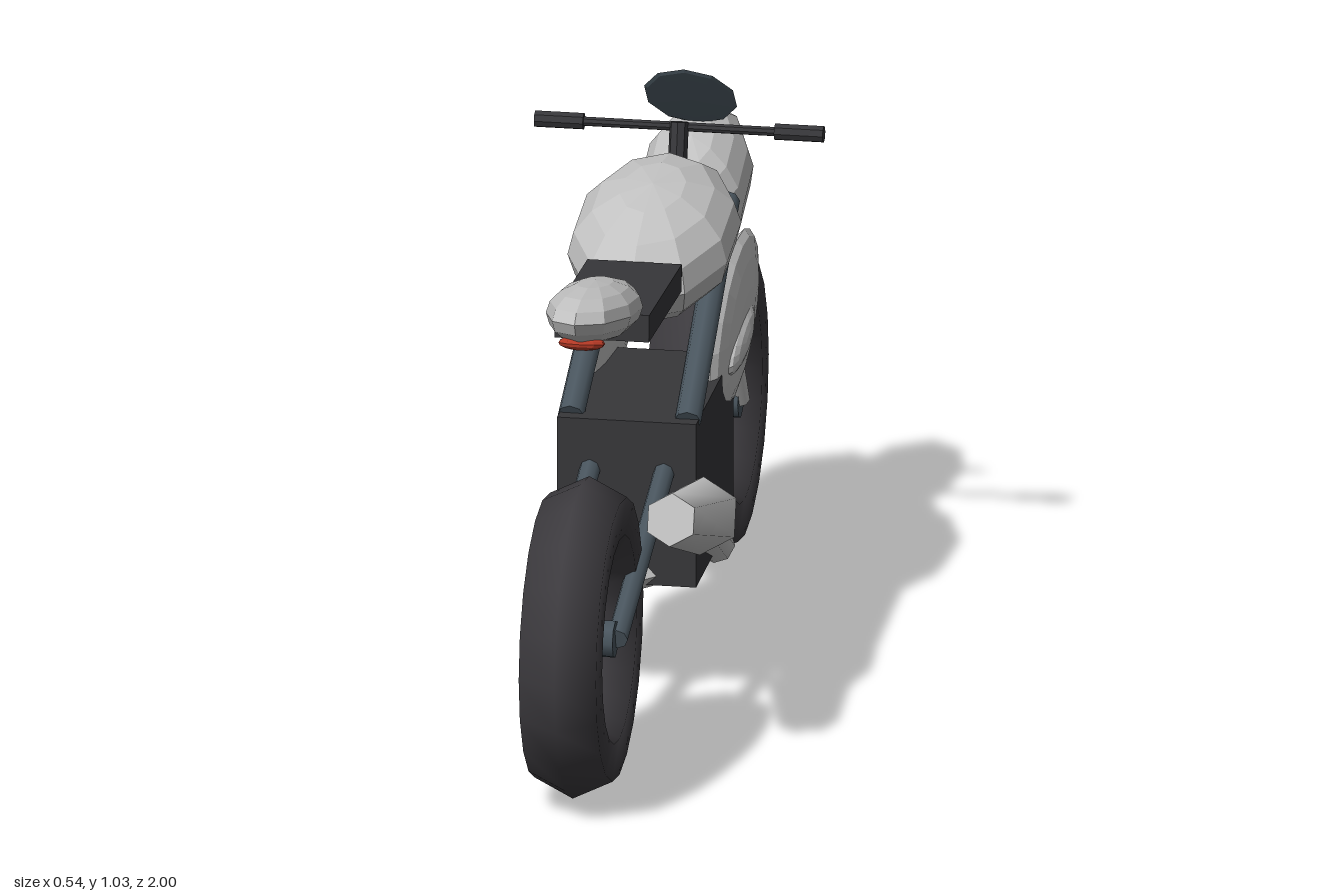
import * as THREE from 'three';

export function createModel() {
  const model = new THREE.Group();
  model.name = 'motorcycle';

  const mat = (name, color, flatShading = false) => {
    const m = new THREE.MeshStandardMaterial({ color, flatShading });
    m.name = name;
    return m;
  };
  const paint = mat('silver paint', 0xc2c2c2, true);
  const metal = mat('bright metal', 0xc6c6c6);
  const rubber = mat('tyre rubber', 0x3d3b3f);
  const dark = mat('dark casing', 0x37373a, true);
  const steel = mat('slate steel', 0x4a565f);
  const glass = mat('tinted screen', 0x53616b, true);
  const red = mat('tail light red', 0xb83a26, true);

  const add = (name, geometry, material, parent = model) => {
    const mesh = new THREE.Mesh(geometry, material);
    mesh.name = name;
    parent.add(mesh);
    return mesh;
  };

  // Faceted ellipsoid; positive tilt (degrees) raises the nose
  const ellipsoid = (name, material, pos, radii, tilt) => {
    const g = new THREE.SphereGeometry(1, 10, 8).rotateY(Math.PI / 10);
    g.scale(...radii);
    const mesh = add(name, g, material);
    mesh.position.set(...pos);
    mesh.rotation.x = THREE.MathUtils.degToRad(tilt);
  };

  // Cylinder running from a to b
  const rod = (name, material, a, b, ra, rb = ra, sides = 8, parent = model) => {
    const p = new THREE.Vector3(...a), q = new THREE.Vector3(...b);
    const d = q.clone().sub(p);
    const mesh = add(name, new THREE.CylinderGeometry(rb, ra, d.length(), sides), material, parent);
    mesh.position.copy(p).add(q).multiplyScalar(0.5);
    mesh.quaternion.setFromUnitVectors(new THREE.Vector3(0, 1, 0), d.normalize());
  };

  // Wheels: hexagonal-section tyre, hub and five spokes
  for (const [name, z] of [['frontWheel', -0.7], ['rearWheel', 0.7]]) {
    const wheel = new THREE.Group();
    wheel.name = name;
    wheel.position.set(0, 0.302, z);
    model.add(wheel);
    const tyre = new THREE.TorusGeometry(0.23, 0.07, 6, 20).rotateY(Math.PI / 2).scale(1.2, 1, 1);
    add('tyre', tyre, rubber, wheel);
    rod('hub', steel, [-0.065, 0, 0], [0.065, 0, 0], 0.036, 0.036, 8, wheel);
    for (let i = 0; i < 5; i++) {
      const a = (i / 5) * Math.PI * 2;
      rod('spoke', metal, [0, 0, 0], [0, Math.sin(a) * 0.19, -Math.cos(a) * 0.19], 0.012, 0.012, 6, wheel);
    }
  }

  // Engine block and belly pan
  add('engine', new THREE.BoxGeometry(0.262, 0.32, 0.415), dark).position.set(0, 0.396, -0.016);
  ellipsoid('bellyPan', paint, [0, 0.278, -0.085], [0.115, 0.07, 0.33], 5);

  // Bodywork
  ellipsoid('tank', paint, [0, 0.81, -0.12], [0.158, 0.115, 0.265], 9);
  ellipsoid('headCowl', paint, [0, 0.763, -0.575], [0.105, 0.115, 0.203], 20);
  ellipsoid('tailCowl', paint, [0, 0.895, 0.55], [0.084, 0.056, 0.228], -11);
  ellipsoid('tailLight', red, [0, 0.877, 0.692], [0.045, 0.014, 0.024], -11);
  ellipsoid('windscreen', glass, [0, 0.953, -0.523], [0.088, 0.007, 0.108], -46);
  const seat = add('seat', new THREE.BoxGeometry(0.178, 0.052, 0.365), dark);
  seat.position.set(0, 0.823, 0.285);
  seat.rotation.x = -0.06;

  // Mirrored side parts
  for (const s of [-1, 1]) {
    const panel = new THREE.SphereGeometry(1, 18, 8).rotateZ(Math.PI / 2);
    const side = add('sidePanel', panel.clone().scale(0.03, 0.135, 0.255), paint);
    side.position.set(s * 0.115, 0.588, -0.305);
    side.rotation.x = 0.24;
    const blister = add('sideBlister', panel.clone().scale(0.022, 0.036, 0.13), paint);
    blister.position.set(s * 0.135, 0.572, -0.262);
    blister.rotation.x = 0.17;

    rod('frameTube', steel, [s * 0.098, 0.815, -0.345], [s * 0.11, 0.55, 0.16], 0.025);
    rod('swingarm', steel, [s * 0.068, 0.302, 0.7], [s * 0.07, 0.48, 0.11], 0.02);
    rod('forkLeg', metal, [s * 0.064, 0.302, -0.7], [s * 0.055, 0.83, -0.375], 0.018);
    rod('grip', dark, [s * 0.18, 0.935, -0.4], [s * 0.272, 0.935, -0.4], 0.016);
  }

  // Steering
  rod('handlebar', dark, [-0.2, 0.935, -0.4], [0.2, 0.935, -0.4], 0.009);
  rod('steeringStem', dark, [0, 0.8, -0.36], [0, 0.945, -0.397], 0.018);

  // Exhaust on one side
  rod('exhaustPipe', metal, [0.12, 0.225, -0.095], [0.152, 0.42, 0.32], 0.036);
  rod('muffler', metal, [0.16, 0.415, 0.3], [0.16, 0.523, 0.645], 0.073, 0.05, 6);

  return model;
}
